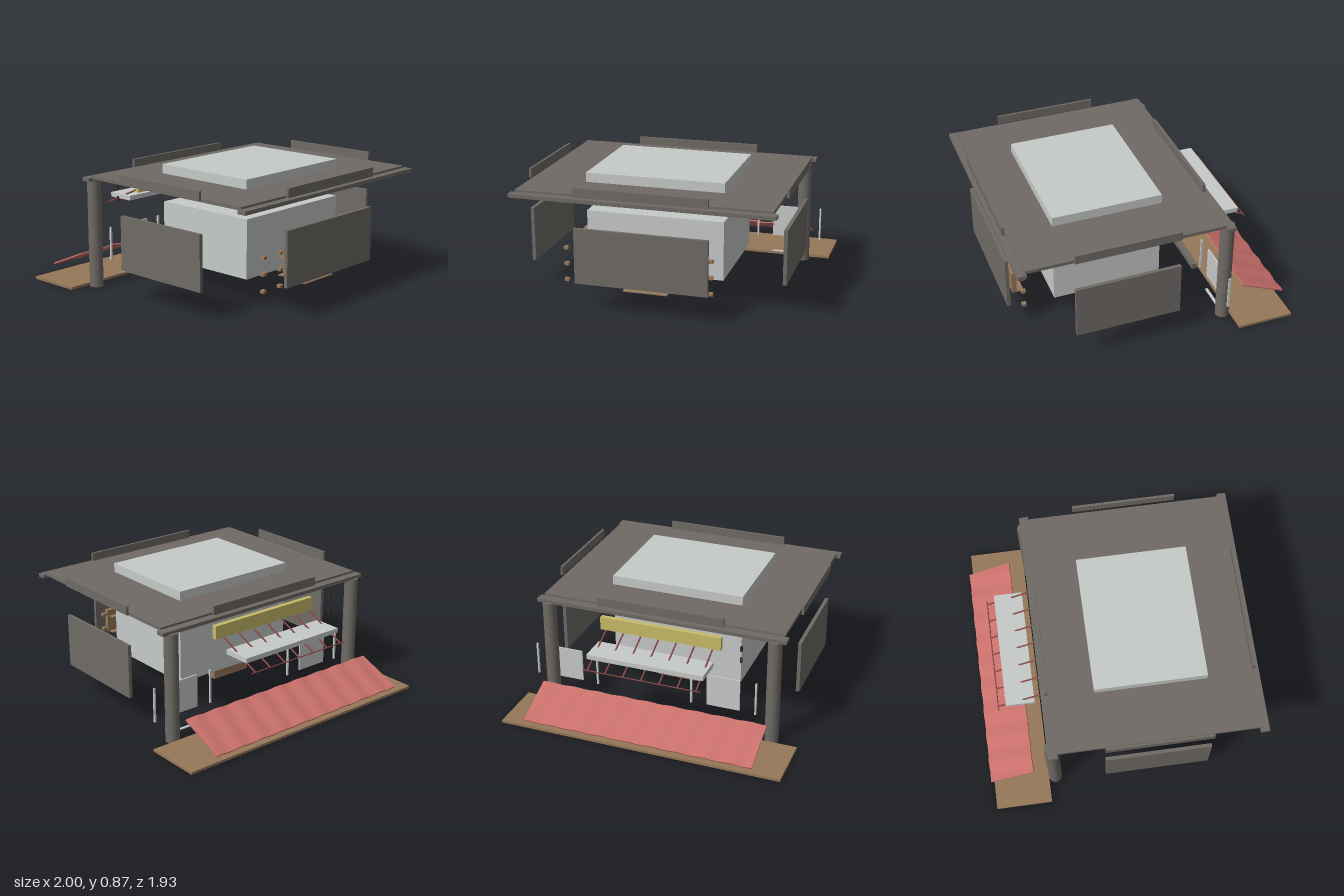
import * as THREE from 'three';

export function createModel() {
  const root = new THREE.Group();
  const mat = (name, color) => {
    const m = new THREE.MeshStandardMaterial({ color });
    m.name = name;
    return m;
  };
  const grey = mat('dark grey', 0x6f6a65);
  const pale = mat('pale grey', 0xc6cac8);
  const wood = mat('wood', 0x96785a);
  const red = mat('red', 0xc9706b);
  const rodRed = mat('rod red', 0x8c4a46);
  const yellow = mat('yellow', 0xc8bb69);
  const black = mat('near black', 0x34312f);

  const add = (name, geo, m, x = 0, y = 0, z = 0) => {
    const mesh = new THREE.Mesh(geo, m);
    mesh.name = name;
    mesh.position.set(x, y, z);
    root.add(mesh);
    return mesh;
  };
  // Box given by its low and high limits on each axis
  const box = (name, m, x0, x1, y0, y1, z0, z1) =>
    add(name, new THREE.BoxGeometry(x1 - x0, y1 - y0, z1 - z0), m,
      (x0 + x1) / 2, (y0 + y1) / 2, (z0 + z1) / 2);

  // Roof slab with its two end beams and raised panel
  box('roof', grey, -0.863, 0.863, 0.777, 0.8, -0.465, 0.905);
  box('frontBeam', grey, -0.89, 0.89, 0.76, 0.785, 0.9, 0.962);
  box('backBeam', grey, -0.89, 0.89, 0.76, 0.785, -0.525, -0.46);
  box('roofPanel', pale, -0.477, 0.477, 0.8, 0.865, -0.165, 0.605);

  // Parapets and hanging wall panels
  box('frontParapet', grey, -0.452, 0.452, 0.79, 0.853, 0.918, 0.936);
  box('backParapet', grey, -0.452, 0.452, 0.79, 0.853, -0.495, -0.475);
  box('frontPanel', grey, -0.452, 0.452, 0.197, 0.577, 0.908, 0.932);
  for (const s of [-1, 1]) {
    const side = (name, y0, y1, a, b) =>
      box(name, grey, Math.min(s * a, s * b), Math.max(s * a, s * b), y0, y1, -0.142, 0.587);
    side('sideParapet', 0.793, 0.855, 0.88, 0.897);
    side('sidePanel', 0.197, 0.577, 0.87, 0.895);
    // Rear columns
    add('column', new THREE.CylinderGeometry(0.048, 0.048, 0.765, 32), grey, s * 0.81, 0.3825, -0.5);
  }

  // Central room and the block beneath it
  box('room', pale, -0.475, 0.475, 0.195, 0.602, -0.158, 0.608);
  box('roomStep', wood, -0.153, 0.153, 0.12, 0.197, -0.13, -0.072);

  // Counter board, shelves and rows of small pegs behind the front panel
  box('counterBoard', wood, -0.39, 0.39, 0.25, 0.41, 0.845, 0.877);
  [[0.365, 0.38], [0.245, 0.38], [0.14, 0.153]].forEach(([y, w]) =>
    box('shelf', wood, -w, w, y - 0.003, y + 0.003, 0.795, 0.838));
  for (const y of [0.4, 0.288, 0.175]) {
    for (let i = 0; i < 7; i++) {
      add('peg', new THREE.BoxGeometry(0.03, 0.02, 0.03), wood, -0.547 + i * 0.165, y, 0.815);
    }
  }

  // Rear windows, each with a pane, two side posts and a thin sill
  for (const x of [-0.455, 0.705]) {
    box('pane', pale, x - 0.118, x + 0.118, 0.172, 0.403, -0.484, -0.474);
    box('sill', pale, x - 0.118, x + 0.118, 0.046, 0.052, -0.49, -0.47);
    for (const s of [-1, 1]) {
      box('windowPost', pale, x + s * 0.23 - 0.006, x + s * 0.23 + 0.006, 0.165, 0.403, -0.487, -0.472);
    }
  }
  box('rearBar', grey, -0.335, 0.335, 0.037, 0.08, -0.52, -0.48);

  // Rear sign board, dividers and hinges
  box('signBoard', yellow, -0.435, 0.435, 0.612, 0.705, -0.49, -0.455);
  for (const x of [-0.2, 0, 0.2]) {
    box('divider', pale, x - 0.003, x + 0.003, 0.605, 0.712, -0.106, -0.098);
  }
  for (const y of [0.583, 0.667]) {
    box('hinge', black, -0.592, -0.578, y - 0.018, y + 0.018, -0.518, -0.503);
  }

  // Canopy plate held by seven sloping rods and a rail
  box('canopy', pale, -0.413, 0.413, 0.532, 0.565, -0.773, -0.573);
  const rodStart = new THREE.Vector3(0, 0.622, -0.515);
  const rodEnd = new THREE.Vector3(0, 0.48, -0.83);
  const dir = rodEnd.clone().sub(rodStart);
  const mid = rodStart.clone().add(rodEnd).multiplyScalar(0.5);
  for (let i = -3; i <= 3; i++) {
    const rod = add('canopyRod', new THREE.CylinderGeometry(0.006, 0.006, dir.length(), 8),
      rodRed, i * 0.128, mid.y, mid.z);
    rod.quaternion.setFromUnitVectors(new THREE.Vector3(0, 1, 0), dir.clone().normalize());
  }
  const rail = add('canopyRail', new THREE.CylinderGeometry(0.004, 0.004, 0.83, 8), rodRed, 0, 0.48, -0.83);
  rail.rotation.z = Math.PI / 2;

  // Rippled sloping awning
  const slope = Math.atan2(0.138, 0.312);
  const awningGeo = new THREE.BoxGeometry(1.63, 0.01, 0.341, 108, 1, 6);
  const p = awningGeo.attributes.position;
  for (let i = 0; i < p.count; i++) {
    p.setY(i, p.getY(i) + 0.004 * Math.sin(p.getX(i) * Math.PI * 2 * 5.5 + p.getZ(i) * 4));
  }
  awningGeo.computeVertexNormals();
  const awning = add('awning', awningGeo, red, 0, 0.139, -0.805);
  awning.rotation.x = -slope;

  // Floor plank
  box('floorPlank', wood, -1, 1, 0, 0.018, -0.942, -0.547);

  return root;
}
